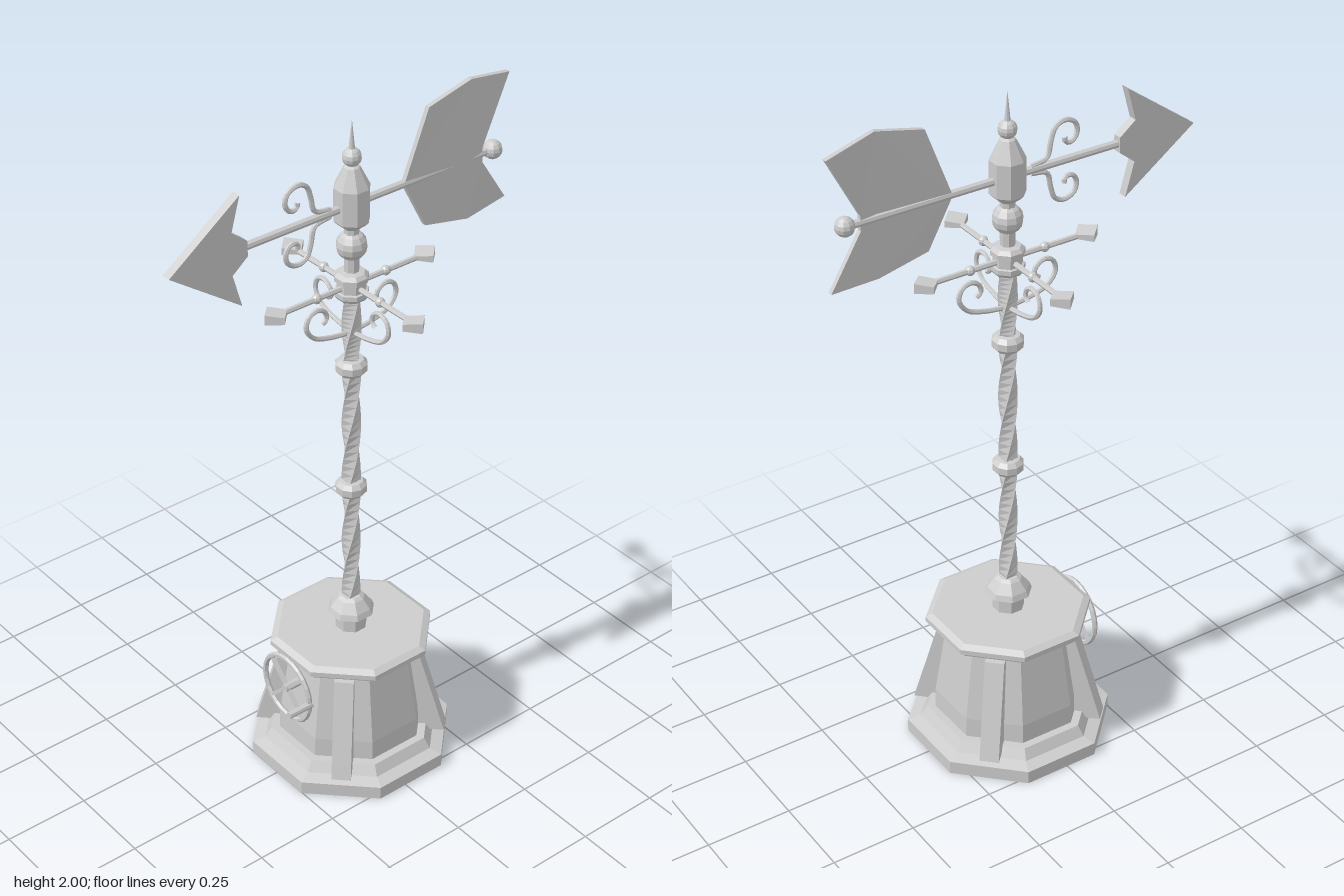
import * as THREE from 'three';

export function createModel() {
  const metal = new THREE.MeshStandardMaterial({ color: 0xcccccc, flatShading: true });
  metal.name = 'pale grey metal';
  const model = new THREE.Group();
  model.name = 'weatherVane';
  const axis = new THREE.Group(); // everything is built around the pole axis
  axis.name = 'vaneAssembly';
  axis.position.z = -0.02;
  model.add(axis);

  const add = (name, geo, x = 0, y = 0, z = 0, parent = axis) => {
    const m = new THREE.Mesh(geo, metal);
    m.name = name;
    m.position.set(x, y, z);
    parent.add(m);
    return m;
  };
  // turned part from [flat radius, y] pairs, bottom to top
  const turned = (name, pts, sides = 8) => {
    const k = 1 / Math.cos(Math.PI / sides);
    return add(name, new THREE.LatheGeometry(
      pts.map(([r, y]) => new THREE.Vector2(r * k, y)), sides, Math.PI / sides));
  };
  const shapeOf = (pts) => new THREE.Shape(pts.map(([a, b]) => new THREE.Vector2(a, b)));
  const slab = (pts, depth) => new THREE.ExtrudeGeometry(shapeOf(pts), { depth, bevelEnabled: false })
    .translate(0, 0, -depth / 2);
  const scroll = (pts, r) => new THREE.TubeGeometry(
    new THREE.CatmullRomCurve3(pts.map(([a, b]) => new THREE.Vector3(a, b, 0))), 28, r, 6);
  const rodZ = (r, len) => new THREE.CylinderGeometry(r, r, len, 8).rotateX(Math.PI / 2);
  const ball = (r) => new THREE.SphereGeometry(r, 10, 8);

  // Octagonal pedestal
  turned('plinth', [[0, 0], [0.272, 0], [0.272, 0.04], [0.238, 0.05], [0.22, 0.08], [0, 0.08]]);
  turned('pedestalBody', [[0.198, 0.07], [0.196, 0.14], [0.162, 0.38]]);
  turned('pedestalCap', [[0, 0.368], [0.2, 0.368], [0.205, 0.38], [0.218, 0.385],
    [0.218, 0.4], [0.2, 0.41], [0, 0.41]]);
  for (let i = 0; i < 4; i++) {
    add('buttress', slab([[0.14, 0.06], [0.273, 0.06], [0.262, 0.1], [0.192, 0.348], [0.14, 0.348]], 0.055))
      .rotation.y = Math.PI / 4 + i * Math.PI / 2;
  }

  // Handwheel with crossed spokes, axle and crank handle
  const wheel = new THREE.Group();
  wheel.name = 'handwheel';
  wheel.position.set(0, 0.295, 0.23);
  axis.add(wheel);
  add('wheelRim', new THREE.TorusGeometry(0.1, 0.008, 6, 24), 0, 0, 0, wheel);
  for (const s of [-1, 1]) {
    add('wheelSpoke', new THREE.BoxGeometry(0.2, 0.01, 0.01), 0, 0, 0, wheel).rotation.z = s * Math.PI / 4;
  }
  add('wheelAxle', rodZ(0.012, 0.07), 0, 0, -0.025, wheel);
  add('crankHandle', rodZ(0.01, 0.08), 0.1, 0, 0.033, wheel);

  // Pole: foot collar, twisted square bars, rings
  turned('poleFoot', [[0, 0.4], [0.042, 0.405], [0.042, 0.462], [0.062, 0.463], [0.056, 0.48],
    [0.036, 0.508], [0.026, 0.515], [0, 0.515]]);
  for (const [y0, y1] of [[0.5, 0.885], [0.885, 1.275], [1.275, 1.5]]) {
    const h = y1 - y0;
    const geo = new THREE.BoxGeometry(0.037, h, 0.037, 1, 16, 1);
    const p = geo.attributes.position;
    const v = new THREE.Vector3();
    for (let i = 0; i < p.count; i++) {
      v.fromBufferAttribute(p, i);
      v.applyAxisAngle(new THREE.Vector3(0, 1, 0), v.y * 9);
      p.setXYZ(i, v.x, v.y, v.z);
    }
    geo.computeVertexNormals();
    add('twistedBar', geo, 0, (y0 + y1) / 2);
  }
  for (const y of [0.885, 1.275]) {
    turned('poleRing', [[0.02, y - 0.024], [0.032, y - 0.022], [0.042, y - 0.01], [0.042, y + 0.01],
      [0.032, y + 0.022], [0.02, y + 0.024]], 10);
  }
  turned('upperPole', [[0.019, 1.48], [0.019, 1.72]]);

  // Direction hub with four arms, flared tips and scroll brackets
  turned('directionHub', [[0.019, 1.48], [0.036, 1.485], [0.043, 1.495], [0.043, 1.508], [0.037, 1.51],
    [0.037, 1.536], [0.043, 1.538], [0.043, 1.552], [0.034, 1.562], [0.019, 1.565]]);
  for (let i = 0; i < 4; i++) {
    const side = new THREE.Group();
    side.name = 'directionArm';
    side.rotation.y = i * Math.PI / 2;
    axis.add(side);
    add('armRod', new THREE.CylinderGeometry(0.008, 0.008, 0.2, 6).rotateZ(Math.PI / 2), 0.125, 1.522, 0, side);
    add('armBead', new THREE.SphereGeometry(0.014, 8, 6), 0.115, 1.522, 0, side);
    const tip = new THREE.BoxGeometry(0.052, 0.02, 0.052).rotateY(Math.PI / 4);
    const p = tip.attributes.position;
    for (let j = 0; j < p.count; j++) p.setY(j, p.getY(j) * (1 + p.getX(j) * 12)); // thicker outward
    tip.computeVertexNormals();
    add('armTip', tip, 0.247, 1.522, 0, side);
    add('scrollBracket', scroll([[0.015, 1.38], [0.07, 1.388], [0.125, 1.407], [0.15, 1.443], [0.14, 1.476],
      [0.112, 1.486], [0.087, 1.47], [0.084, 1.448], [0.098, 1.438]], 0.007), 0, 0, 0, side);
  }

  // Bearing ball, vane housing and finial
  add('bearingBall', ball(0.042), 0, 1.64);
  turned('vaneHousing', [[0.019, 1.69], [0.036, 1.705], [0.045, 1.715], [0.045, 1.81], [0.036, 1.83],
    [0.02, 1.865], [0.012, 1.87], [0, 1.87]]);
  add('finialBall', ball(0.026), 0, 1.892);
  add('finialSpike', new THREE.ConeGeometry(0.009, 0.09, 8), 0, 1.953);

  // Wind vane: rod, arrowhead, scrolls, bowed tail and end ball
  const vane = new THREE.Group();
  vane.name = 'windVane';
  vane.position.set(0, 1.757, 0.02);
  axis.add(vane);
  add('vaneRod', rodZ(0.011, 0.84), 0, 0, -0.06, vane);
  const turn = -Math.PI / 2; // shape x becomes z
  add('arrowhead', slab([[0.558, 0], [0.341, 0.156], [0.368, 0.06], [0.32, 0.022], [0.32, -0.022],
    [0.368, -0.06], [0.341, -0.156]].reverse(), 0.026).rotateY(turn), 0, 0, 0, vane);
  for (const s of [1, -1]) {
    add('vaneScroll', scroll([[0.05, 0.01], [0.1, 0.022], [0.112, 0.065], [0.125, 0.1], [0.152, 0.113],
      [0.185, 0.1], [0.193, 0.07], [0.178, 0.048], [0.157, 0.05], [0.154, 0.066]]
      .map(([a, b]) => [a, b * s]), 0.007).rotateY(turn), 0, 0, 0, vane);
  }
  const tail = slab([[-0.188, 0], [-0.262, 0.2], [-0.405, 0.234], [-0.553, 0.203], [-0.455, 0.022],
    [-0.455, -0.022], [-0.553, -0.163], [-0.405, -0.172], [-0.258, -0.14]], 0.014).rotateY(turn);
  const tp = tail.attributes.position;
  for (let i = 0; i < tp.count; i++) {
    const t = (-tp.getZ(i) - 0.188) / 0.365; // 0 at the leading edge, 1 at the far corners
    tp.setX(i, tp.getX(i) + 0.055 * t * (1 - t) - 0.014 * t);
  }
  tail.computeVertexNormals();
  add('tailFin', tail, 0, 0, 0, vane);
  add('tailBall', ball(0.027), 0.002, 0, -0.495, vane);

  return model;
}
